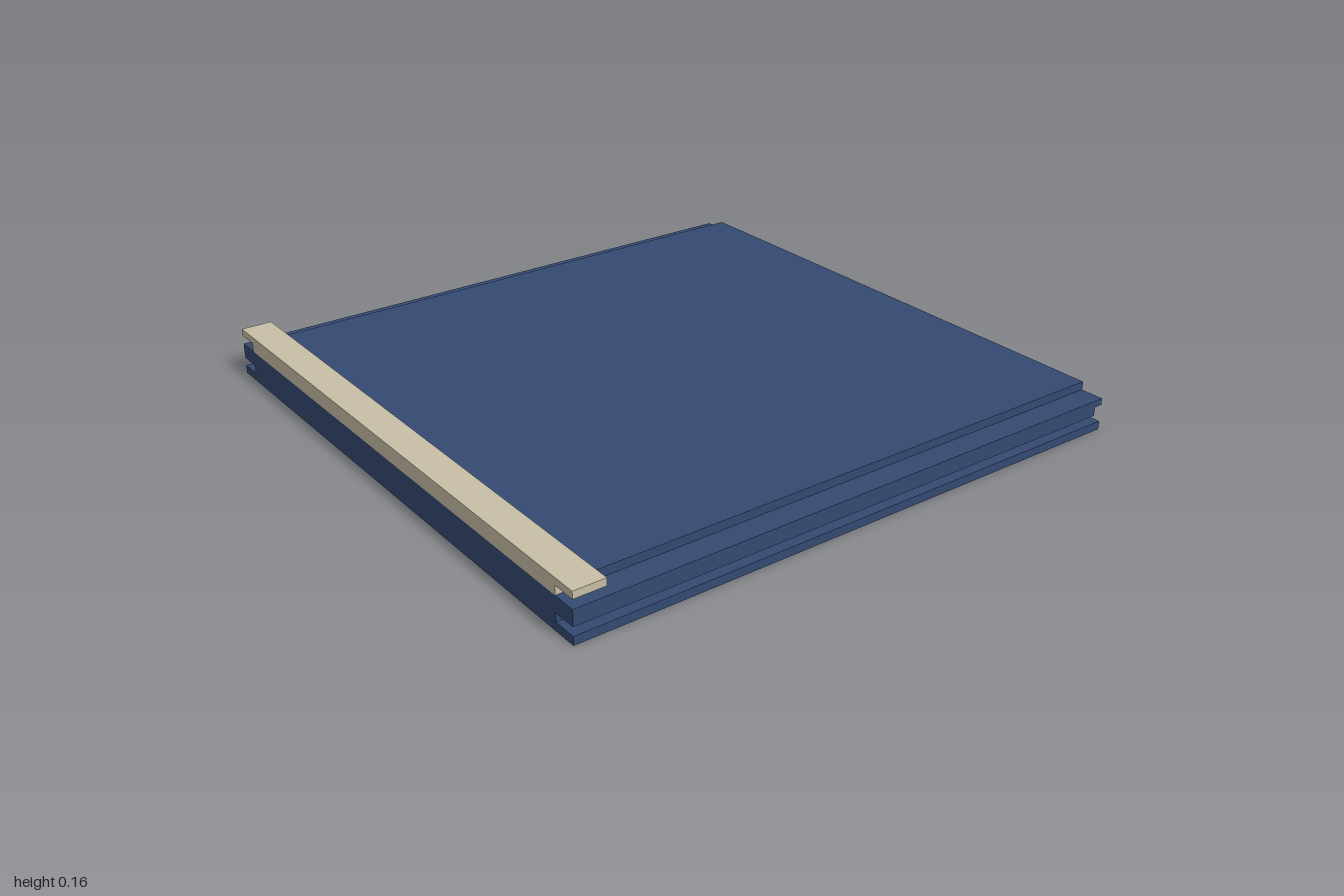
import * as THREE from 'three';

export function createModel() {
  const model = new THREE.Group();
  const navy = new THREE.MeshStandardMaterial({ color: 0x344a72 });
  navy.name = 'navy panel';
  const beige = new THREE.MeshStandardMaterial({ color: 0xc8bea6 });
  beige.name = 'beige trim';

  // Box given by its half width and its y and z ranges
  function slab(name, material, halfWidth, y0, y1, z0, z1) {
    const mesh = new THREE.Mesh(new THREE.BoxGeometry(halfWidth * 2, y1 - y0, z1 - z0), material);
    mesh.position.set(0, (y0 + y1) / 2, (z0 + z1) / 2);
    mesh.name = name;
    model.add(mesh);
  }

  const full = 1, inset = 0.92;

  // Stacked panel with side grooves and a notch along the back edge
  slab('basePlate', navy, full, 0, 0.028, -1, 1);
  slab('grooveCore', navy, inset, 0.028, 0.056, -1, 1);
  slab('notchedLayer', navy, full, 0.056, 0.086, -0.97, 1);
  slab('middlePlate', navy, full, 0.086, 0.108, -1, 1);
  slab('topPanel', navy, inset, 0.108, 0.136, -1, 0.92);

  // Front trim: a narrow core under an overhanging lip
  slab('trimCore', beige, inset, 0.108, 0.138, 0.92, 1);
  slab('trimLip', beige, full, 0.138, 0.162, 0.895, 1);

  return model;
}
